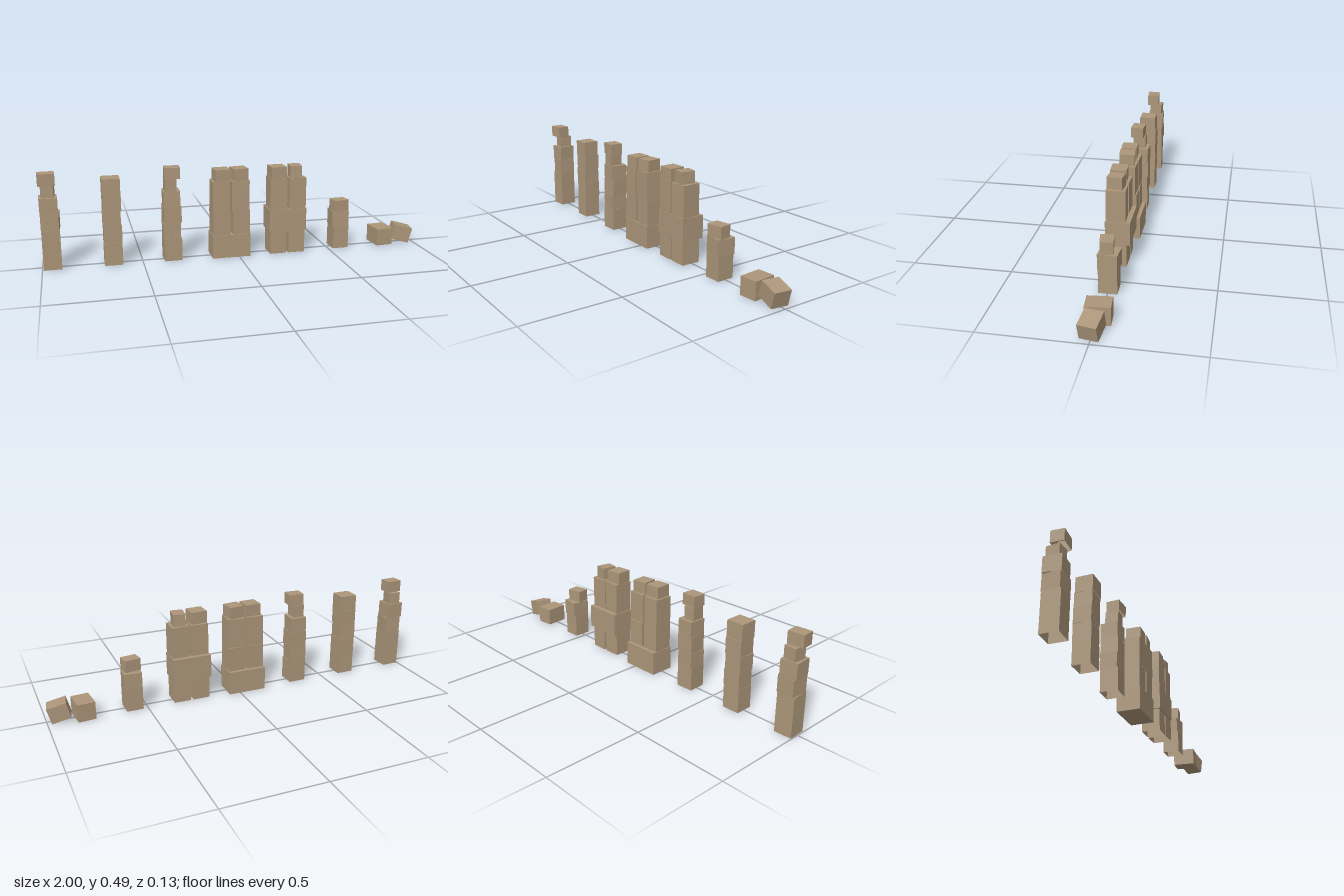
import * as THREE from 'three';

const stone = new THREE.MeshStandardMaterial({ color: 0xac967a, side: THREE.DoubleSide });
stone.name = 'sandstone';

// A stone block standing on y0; open underneath unless closed.
function block(name, [x, z, y0, y1, w, d, yaw = 0], closed = false) {
  const geo = new THREE.BoxGeometry(w, y1 - y0, d);
  if (!closed) {
    const idx = Array.from(geo.index.array);
    idx.splice(18, 6);
    geo.setIndex(idx);
    geo.clearGroups();
  }
  const mesh = new THREE.Mesh(geo, stone);
  mesh.name = name;
  mesh.position.set(x, (y0 + y1) / 2, z);
  mesh.rotation.y = THREE.MathUtils.degToRad(yaw);
  return mesh;
}

// Stack of blocks, each row: x, z, bottom, top, width, depth, yaw in degrees
function stack(name, rows) {
  const g = new THREE.Group();
  g.name = name;
  rows.forEach((r, i) => g.add(block(`${name}Block${i + 1}`, r)));
  return g;
}

export function createModel() {
  const model = new THREE.Group();
  model.name = 'standingStones';

  // Three single pillars
  model.add(stack('cappedPillar', [
    [-0.95, 0.0, 0, 0.2, 0.09, 0.09, 2],
    [-0.948, -0.002, 0.2, 0.285, 0.088, 0.09, -3],
    [-0.953, -0.003, 0.285, 0.365, 0.088, 0.09, 3],
    [-0.952, -0.007, 0.365, 0.427, 0.062, 0.068, -4],
    [-0.956, 0.014, 0.427, 0.488, 0.082, 0.066, 4],
  ]));
  model.add(stack('plainPillar', [
    [-0.648, 0.0, 0, 0.12, 0.091, 0.09, 0],
    [-0.647, -0.002, 0.12, 0.205, 0.09, 0.091, 1],
    [-0.65, -0.001, 0.205, 0.285, 0.09, 0.09, -1],
    [-0.647, -0.002, 0.285, 0.365, 0.09, 0.09, 1],
    [-0.648, 0.001, 0.365, 0.447, 0.091, 0.088, 0],
  ]));
  model.add(stack('notchedPillar', [
    [-0.345, 0.0, 0, 0.12, 0.09, 0.09, 2],
    [-0.347, -0.002, 0.12, 0.2, 0.089, 0.089, -2],
    [-0.344, -0.003, 0.2, 0.285, 0.089, 0.09, 2],
    [-0.345, -0.003, 0.285, 0.365, 0.085, 0.09, -2],
    [-0.351, 0.005, 0.365, 0.43, 0.058, 0.068, 1],
    [-0.341, 0.012, 0.43, 0.488, 0.08, 0.068, -3],
  ]));

  // Two columns on a shared plinth
  const twin = new THREE.Group();
  twin.name = 'twinOnPlinth';
  twin.add(block('plinth', [-0.041, 0, 0, 0.122, 0.2, 0.125], true));
  twin.add(stack('twinRightColumn', [
    [-0.093, 0.008, 0.122, 0.25, 0.09, 0.1, 1],
    [-0.093, 0.01, 0.25, 0.405, 0.09, 0.098, -1],
    [-0.087, 0.017, 0.405, 0.467, 0.08, 0.08, 3],
  ]));
  twin.add(stack('twinLeftColumn', [
    [0.012, 0.007, 0.122, 0.25, 0.088, 0.1, 1],
    [0.009, 0.01, 0.25, 0.405, 0.094, 0.094, -2],
    [0.008, 0.013, 0.405, 0.467, 0.078, 0.078, 7],
  ]));
  model.add(twin);

  // Two columns tied by a beam partway up
  const gate = new THREE.Group();
  gate.name = 'tiedPair';
  gate.add(block('tieBeam', [0.263, 0, 0.122, 0.242, 0.2, 0.123], true));
  gate.add(stack('gateRightColumn', [
    [0.213, 0.006, 0, 0.122, 0.088, 0.1, 1],
    [0.213, 0.01, 0.242, 0.405, 0.09, 0.098, -1],
    [0.211, 0.016, 0.405, 0.467, 0.082, 0.08, 3],
  ]));
  gate.add(stack('gateLeftColumn', [
    [0.314, 0.006, 0, 0.122, 0.088, 0.1, -1],
    [0.314, 0.01, 0.242, 0.405, 0.09, 0.096, 2],
    [0.31, 0.013, 0.405, 0.467, 0.062, 0.076, -7],
  ]));
  model.add(gate);

  // Short pillar
  model.add(stack('shortPillar', [
    [0.568, 0, 0, 0.12, 0.086, 0.09, 1],
    [0.568, -0.003, 0.12, 0.203, 0.09, 0.095, -4],
    [0.566, 0.009, 0.203, 0.265, 0.082, 0.064, 9],
  ]));

  // Two fallen blocks, the last one tipped over
  model.add(block('fallenBlock', [0.818, -0.004, 0, 0.092, 0.09, 0.118, 5], true));
  const tipped = block('tippedBlock', [0.936, 0.002, 0, 0.083, 0.098, 0.088], true);
  tipped.rotation.set(0, -0.16, -0.26, 'YZX');
  tipped.position.y = 0.053;
  model.add(tipped);

  return model;
}
